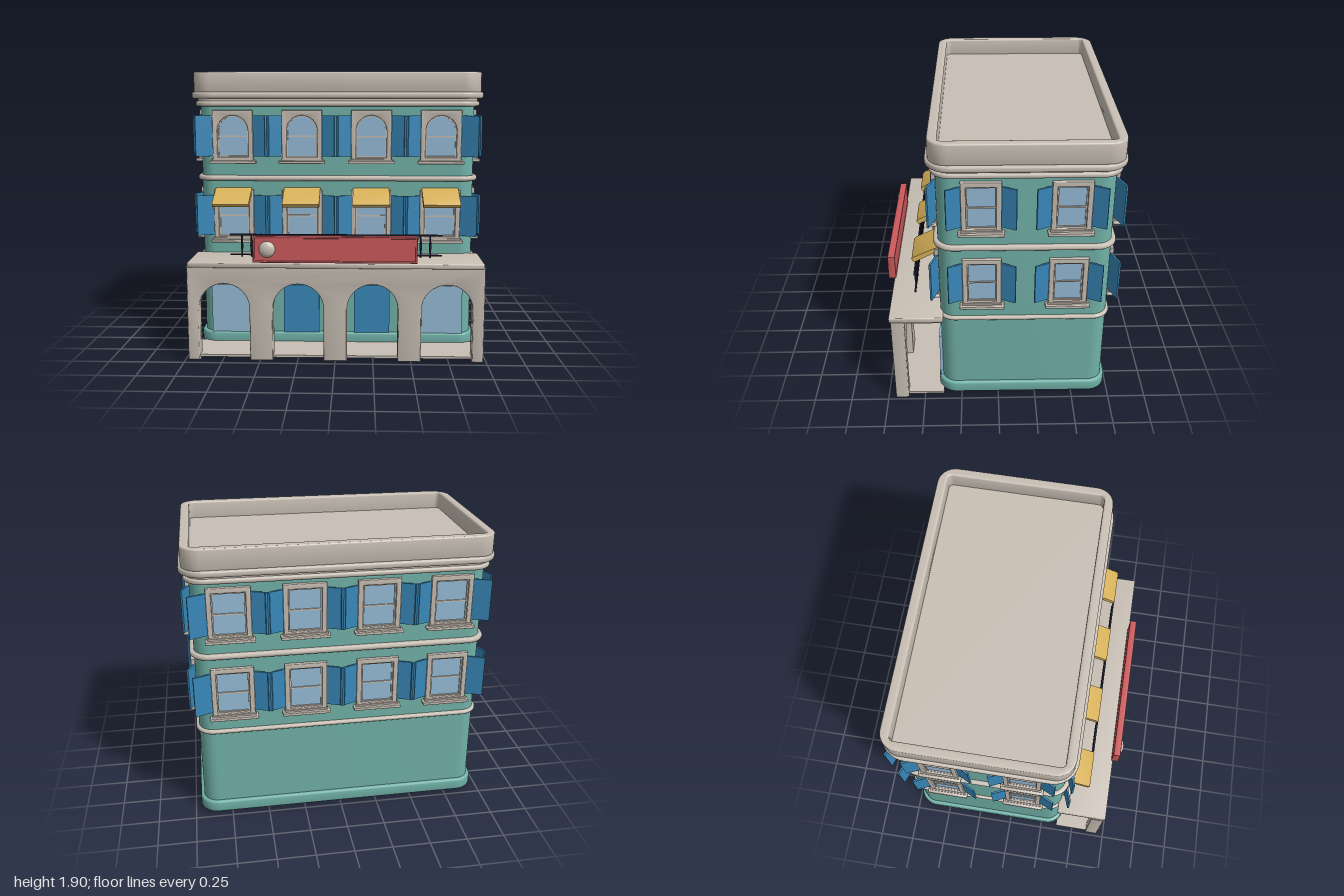
import * as THREE from 'three';
import { toCreasedNormals } from 'three/addons/utils/BufferGeometryUtils.js';

const mat = (name, color) => Object.assign(new THREE.MeshStandardMaterial({ color }), { name });
const TEAL = mat('teal wall', 0x70b1a7);
const STONE = mat('beige stone', 0xc8bfb4);
const GLASS = mat('pale blue glass', 0x95bad6);
const BLUE = mat('blue paint', 0x3888b9);
const YELLOW = mat('yellow awning', 0xd6b058);
const RED = mat('red sign', 0xcb595b);
const NAVY = mat('navy iron', 0x1c1b30);

function add(parent, name, geo, material, x = 0, y = 0, z = 0) {
  const m = new THREE.Mesh(geo, material);
  m.name = name;
  m.position.set(x, y, z);
  parent.add(m);
  return m;
}

const box = (w, h, d) => new THREE.BoxGeometry(w, h, d);

function roundRect(target, hw, hh, r) {
  target.moveTo(-hw + r, -hh);
  target.lineTo(hw - r, -hh);
  target.absarc(hw - r, -hh + r, r, -Math.PI / 2, 0);
  target.absarc(hw - r, hh - r, r, 0, Math.PI / 2);
  target.absarc(-hw + r, hh - r, r, Math.PI / 2, Math.PI);
  target.absarc(-hw + r, -hh + r, r, Math.PI, Math.PI * 1.5);
  return target;
}

// rectangle from y0 to y1
function rect(target, hw, y0, y1, cx = 0) {
  target.moveTo(cx - hw, y0);
  target.lineTo(cx + hw, y0);
  target.lineTo(cx + hw, y1);
  target.lineTo(cx - hw, y1);
  target.closePath();
  return target;
}

// round-headed opening from y0 up to top
function arch(target, hw, y0, top, cx = 0) {
  target.moveTo(cx - hw, y0);
  target.lineTo(cx + hw, y0);
  target.lineTo(cx + hw, top - hw);
  target.absarc(cx, top - hw, hw, 0, Math.PI);
  target.closePath();
  return target;
}

function extrude(shape, depth, bevel = 0) {
  const geo = new THREE.ExtrudeGeometry(shape, {
    depth: depth - 2 * bevel, curveSegments: 8, bevelEnabled: bevel > 0,
    bevelSize: bevel, bevelThickness: bevel, bevelOffset: -bevel, bevelSegments: 3,
  });
  geo.translate(0, 0, bevel);
  return toCreasedNormals(geo, 0.6);
}

// horizontal slab with rounded corners, spanning y0..y1 and z0..z1
function slab(parent, name, material, hw, z0, z1, y0, y1, r, bevel, hole) {
  const shape = roundRect(new THREE.Shape(), hw, (z1 - z0) / 2, r);
  if (hole) shape.holes.push(hole);
  const geo = extrude(shape, y1 - y0, bevel).rotateX(-Math.PI / 2);
  return add(parent, name, geo, material, 0, y0, (z0 + z1) / 2);
}

// window facing +z; its wall lies at z = 0 and the frame foot at y = 0
function makeWindow(hw, shutterWidth, arched) {
  const g = new THREE.Group();
  g.name = arched ? 'archedWindow' : 'window';
  const H = 0.342, iw = hw - 0.033;
  const frame = rect(new THREE.Shape(), hw, 0, H);
  const opening = (t, e) => (arched ? arch(t, iw - e, 0.025 + e, H - 0.035 - e) : rect(t, iw - e, 0.025 + e, H - 0.035 - e));
  frame.holes.push(opening(new THREE.Path(), 0));
  add(g, 'windowFrame', extrude(frame, 0.026, 0.005), STONE);
  const sash = opening(new THREE.Shape(), -0.002);
  sash.holes.push(opening(new THREE.Path(), 0.008));
  add(g, 'sash', extrude(sash, 0.014), STONE);
  add(g, 'pane', new THREE.ShapeGeometry(opening(new THREE.Shape(), 0), 8), GLASS, 0, 0, 0.006);
  add(g, 'sashBar', box(iw * 2, 0.01, 0.008), STONE, 0, 0.165, 0.009);
  add(g, 'sill', extrude(roundRect(new THREE.Shape(), hw + 0.02, 0.01, 0.006), 0.055, 0.004), STONE, 0, -0.008, 0);
  add(g, 'sillMoulding', box(hw * 2 + 0.01, 0.014, 0.035), STONE, 0, 0.006, 0.0175);
  for (const s of [-1, 1]) {
    // shutter swings out from a hinge beside the frame
    const hinge = new THREE.Group();
    hinge.name = 'shutterHinge';
    hinge.position.set(s * hw, 0.168, 0.008);
    hinge.rotation.y = -s * Math.atan2(0.043, shutterWidth);
    add(hinge, 'shutter', box(Math.hypot(shutterWidth, 0.043), 0.276, 0.012), BLUE, s * shutterWidth / 2, 0, 0);
    g.add(hinge);
  }
  return g;
}

export function createModel() {
  const model = new THREE.Group();
  model.name = 'townBuilding';
  const X = 0.937, Z0 = -0.71, Z1 = 0.38;

  // walls, plinth, string courses and cornices
  slab(model, 'walls', TEAL, X, Z0, Z1, 0.03, 1.76, 0.1, 0);
  slab(model, 'plinth', TEAL, X + 0.023, Z0 - 0.023, Z1 + 0.023, 0.02, 0.103, 0.12, 0.014);
  const bands = [[0.02, 0.63, 0.66], [0.028, 1.17, 1.206], [0.035, 1.675, 1.71], [0.06, 1.727, 1.771]];
  for (const [out, y0, y1] of bands)
    slab(model, 'moulding', STONE, X + out, Z0 - out, Z1 + out, y0, y1, 0.1 + out, 0.015);
  slab(model, 'corniceNeck', STONE, X + 0.02, Z0 - 0.02, Z1 + 0.02, 1.7, 1.74, 0.12, 0);

  // parapet and sunken roof
  const well = roundRect(new THREE.Path(), 0.92, 0.526, 0.03);
  slab(model, 'parapet', STONE, X + 0.042, Z0 - 0.045, Z1 + 0.04, 1.765, 1.905, 0.12, 0.01, well);
  slab(model, 'roof', STONE, 0.93, -0.71, 0.36, 1.765, 1.79, 0.05, 0);

  // windows on all four sides
  const put = (win, x, y, z, turn) => {
    win.position.set(x, y, z);
    win.rotation.y = turn;
    model.add(win);
  };
  for (const y of [0.765, 1.308]) {
    for (const x of [-0.705, -0.235, 0.235, 0.705]) {
      put(makeWindow(0.137, 0.115, y > 1), x, y, Z1, 0);
      put(makeWindow(0.137, 0.115, false), x, y, Z0, Math.PI);
    }
    for (const z of [0.105, -0.44])
      for (const s of [-1, 1]) put(makeWindow(0.123, 0.094, false), s * X, y, z, s * Math.PI / 2);
  }

  // sloping awnings
  const side = new THREE.Shape();
  [[0, 1.122], [0.16, 1.045], [0.172, 1.03], [0.16, 1.01], [0.148, 1.012], [0, 1.09]]
    .forEach(([a, b], i) => (i ? side.lineTo(a, b) : side.moveTo(a, b)));
  for (const x of [-0.705, -0.235, 0.235, 0.705]) {
    const geo = extrude(side, 0.247).translate(0, 0, -0.1235).rotateY(-Math.PI / 2);
    add(model, 'awning', geo, YELLOW, x, 0, Z1);
  }

  // ground floor doors and shop windows
  for (const s of [-1, 1]) {
    add(model, 'door', box(0.247, 0.42, 0.02), BLUE, s * 0.245, 0.23, 0.385);
    add(model, 'shopWindow', box(0.28, 0.36, 0.02), GLASS, s * 0.732, 0.26, 0.385);
  }

  // arcade with four arches
  const portico = new THREE.Group();
  portico.name = 'portico';
  model.add(portico);
  const wall = new THREE.Shape();
  const centres = [-0.735, -0.245, 0.245, 0.735], hw = 0.168;
  wall.moveTo(-0.98, 0);
  for (const c of centres) {
    wall.lineTo(c - hw, 0);
    wall.lineTo(c - hw, 0.355);
    wall.absarc(c, 0.355, hw, Math.PI, 0, true);
    wall.lineTo(c + hw, 0);
  }
  wall.lineTo(0.98, 0);
  wall.lineTo(0.98, 0.64);
  wall.lineTo(-0.98, 0.64);
  wall.closePath();
  add(portico, 'arcadeWall', extrude(wall, 0.09, 0.008), STONE, 0, 0, 0.61);
  slab(portico, 'porticoRoof', STONE, 0.974, 0.36, 0.712, 0.632, 0.668, 0.012, 0.008);
  slab(portico, 'porticoCeiling', STONE, 0.962, 0.37, 0.65, 0.62, 0.64, 0.01, 0);
  slab(portico, 'porticoFloor', STONE, 0.97, 0.37, 0.69, 0.02, 0.036, 0.01, 0);
  for (const c of centres)
    add(portico, 'ceilingLamp', new THREE.CylinderGeometry(0.02, 0.013, 0.03, 12), STONE, c, 0.608, 0.515);

  // iron balcony railing
  const railing = new THREE.Group();
  railing.name = 'railing';
  model.add(railing);
  for (const y of [0.69, 0.826])
    add(railing, 'rail', box(1.42, 0.009, 0.012), NAVY, 0, y, 0.553);
  const profile = [[0, 0], [0.006, 0], [0.005, 0.03], [0.009, 0.075], [0.005, 0.12], [0.006, 0.155], [0, 0.155]]
    .map(([a, b]) => new THREE.Vector2(a, b));
  const baluster = new THREE.LatheGeometry(profile, 8);
  for (let i = 0; i < 21; i++) add(railing, 'baluster', baluster, NAVY, -0.63 + i * 0.063, 0.676, 0.553);

  // sign board with a raised rim and a round boss
  const rim = rect(new THREE.Shape(), 0.533, 0.677, 0.85);
  rim.holes.push(rect(new THREE.Path(), 0.52, 0.69, 0.837));
  add(model, 'signRim', extrude(rim, 0.05, 0.004), RED, 0, 0, 0.699);
  add(model, 'signBoard', box(1.05, 0.16, 0.042), RED, 0, 0.7635, 0.722);
  const boss = add(model, 'signBoss', new THREE.SphereGeometry(0.053, 24, 16), STONE, -0.44, 0.765, 0.742);
  boss.scale.z = 0.55;

  return model;
}
